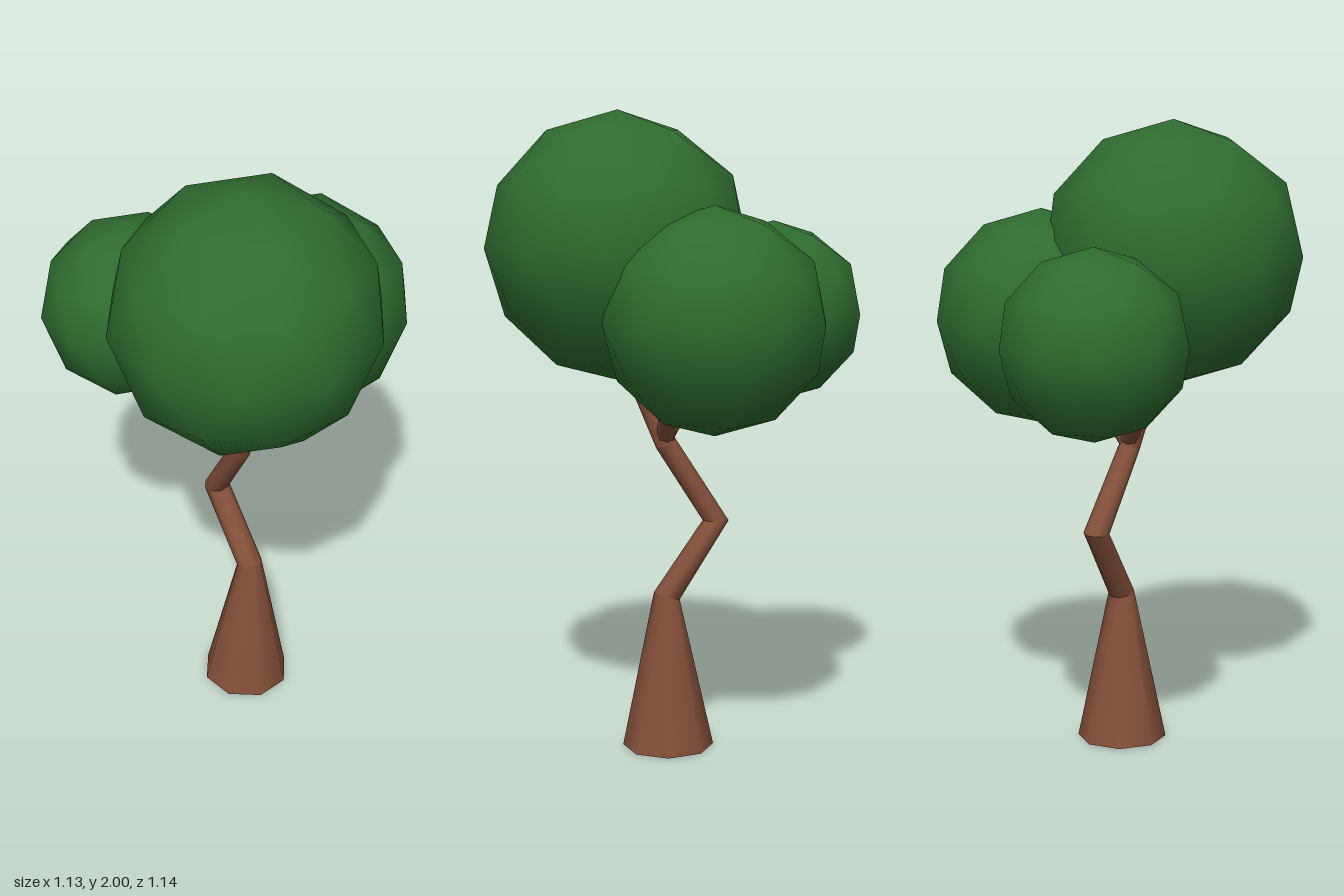
import * as THREE from 'three';

const SIDES = 8;

// Low-poly ball: an icosahedron with its poles on the y axis, subdivided once
function ballGeometry(radius) {
  const verts = [0, 1, 0];
  const faces = [];
  const h = 1 / Math.sqrt(5), w = 2 / Math.sqrt(5);
  for (let i = 0; i < 5; i++) {
    const a = (i * Math.PI * 2) / 5, b = a + Math.PI / 5;
    verts.push(w * Math.cos(a), h, -w * Math.sin(a), w * Math.cos(b), -h, -w * Math.sin(b));
    const up = 1 + 2 * i, low = up + 1;
    const upNext = 1 + 2 * ((i + 1) % 5), lowNext = upNext + 1;
    faces.push(0, up, upNext, up, low, upNext, low, lowNext, upNext, 11, lowNext, low);
  }
  verts.push(0, -1, 0);
  return new THREE.PolyhedronGeometry(verts, faces, radius, 1);
}

// Tapered limb through [x, y, z, radius] stations, mitred at every bend.
// Each segment has its own rings, so bends stay sharp while the sides are smooth.
function limbGeometry(stations) {
  const pts = stations.map(([x, y, z]) => new THREE.Vector3(x, y, z));
  const dirs = pts.slice(1).map((p, i) => p.clone().sub(pts[i]).normalize());
  const rings = pts.map((p, i) => {
    const n = new THREE.Vector3();
    if (i > 0) n.add(dirs[i - 1]);
    if (i < dirs.length) n.add(dirs[i]);
    n.normalize();
    const v = new THREE.Vector3(0, 0, 1).addScaledVector(n, -n.z).normalize();
    const u = new THREE.Vector3().crossVectors(n, v);
    return Array.from({ length: SIDES }, (_, k) => {
      const a = ((k + 0.5) / SIDES) * Math.PI * 2, r = stations[i][3];
      return p.clone().addScaledVector(u, r * Math.sin(a)).addScaledVector(v, r * Math.cos(a));
    });
  });
  const pos = [], index = [];
  for (let s = 0; s < dirs.length; s++) {
    const base = pos.length / 3;
    for (const ring of [rings[s], rings[s + 1]]) for (const p of ring) pos.push(p.x, p.y, p.z);
    for (let k = 0; k < SIDES; k++) {
      const a = base + k, b = base + ((k + 1) % SIDES);
      index.push(a, b, b + SIDES, a, b + SIDES, a + SIDES);
    }
  }
  const geo = new THREE.BufferGeometry();
  geo.setAttribute('position', new THREE.Float32BufferAttribute(pos, 3));
  geo.setIndex(index);
  geo.computeVertexNormals();
  return geo;
}

export function createModel() {
  const tree = new THREE.Group();
  tree.name = 'tree';

  const bark = new THREE.MeshStandardMaterial({ color: 0x84503a, side: THREE.DoubleSide });
  bark.name = 'bark brown';
  const leaf = new THREE.MeshStandardMaterial({ color: 0x2f6c30 });
  leaf.name = 'leaf green';

  const add = (name, geometry, material, x = 0, y = 0, z = 0) => {
    const mesh = new THREE.Mesh(geometry, material);
    mesh.name = name;
    mesh.position.set(x, y, z);
    tree.add(mesh);
  };

  // Crooked trunk, flared at the open foot and running on into the front crown
  add('trunk', limbGeometry([
    [0.082, 0.004, -0.017, 0.143],
    [0.09, 0.49, -0.016, 0.042],
    [-0.022, 0.72, -0.137, 0.041],
    [0.058, 0.97, 0.0, 0.034],
    [0.09, 1.18, 0.085, 0.03],
    [0.1, 1.3, 0.13, 0.028],
  ]), bark);

  // Side branches
  add('leftBranch', limbGeometry([
    [0.06, 0.99, 0.0, 0.03],
    [0.165, 1.1, -0.05, 0.026],
    [0.23, 1.18, -0.085, 0.024],
  ]), bark);
  add('rightBranch', limbGeometry([
    [0.06, 1.0, 0.0, 0.03],
    [-0.185, 1.175, -0.035, 0.023],
    [-0.25, 1.222, -0.05, 0.021],
  ]), bark);

  // Foliage balls
  add('frontCrown', ballGeometry(0.418), leaf, 0.075, 1.582, 0.153);
  add('leftCrown', ballGeometry(0.344), leaf, 0.238, 1.378, -0.23);
  add('rightCrown', ballGeometry(0.291), leaf, -0.29, 1.36, -0.231);

  return tree;
}
